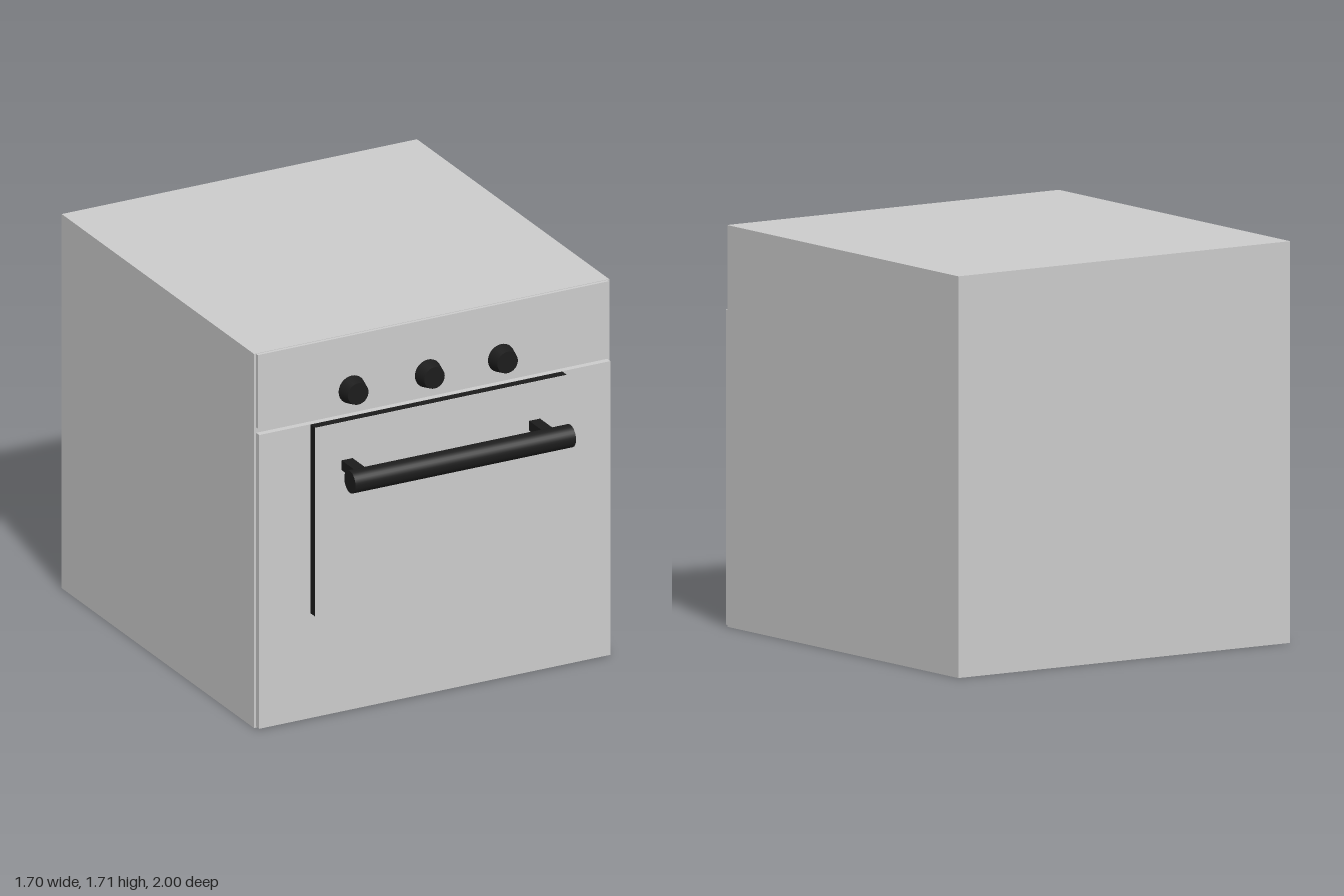
import * as THREE from 'three';

export function createModel() {
  const model = new THREE.Group();
  const grey = new THREE.MeshStandardMaterial({ color: 0xcccccc });
  const black = new THREE.MeshStandardMaterial({ color: 0x1c1c1c });

  function add(name, geometry, material, x = 0, y = 0, z = 0) {
    const mesh = new THREE.Mesh(geometry, material);
    mesh.name = name;
    mesh.position.set(x, y, z);
    model.add(mesh);
    return mesh;
  }

  // Box given by its minimum and maximum corners
  function box(name, material, [x0, y0, z0], [x1, y1, z1]) {
    return add(name, new THREE.BoxGeometry(x1 - x0, y1 - y0, z1 - z0), material,
      (x0 + x1) / 2, (y0 + y1) / 2, (z0 + z1) / 2);
  }

  // Cabinet with the control panel and door front, a shallow gap between them
  box('cabinet', grey, [-0.85, 0, -1], [0.85, 1.713, 0.71]);
  box('controlPanel', grey, [-0.84, 1.375, 0.705], [0.84, 1.711, 0.725]);
  box('doorFront', grey, [-0.84, 0.005, 0.705], [0.84, 1.35, 0.738]);

  // Raised door window: dark rim with a pale pane on its face
  box('windowFrame', black, [-0.595, 0.485, 0.73], [0.61, 1.349, 0.778]);
  box('windowPane', grey, [-0.595, 0.485, 0.777], [0.61, 1.349, 0.78]);

  // Tapered control knobs, wide end against the panel
  for (const x of [-0.39, -0.025, 0.325]) {
    const knob = add('controlKnob', new THREE.CylinderGeometry(0.049, 0.064, 0.06, 32), black, x, 1.464, 0.752);
    knob.rotation.x = Math.PI / 2;
  }

  // Handle bar on two posts
  const bar = add('handleBar', new THREE.CylinderGeometry(0.05, 0.05, 1.055, 32), black, 0.0075, 1.15, 0.95);
  bar.rotation.z = Math.PI / 2;
  for (const x of [-0.442, 0.455]) {
    box('handlePost', black, [x - 0.026, 1.13, 0.775], [x + 0.026, 1.175, 0.95]);
  }

  return model;
}
